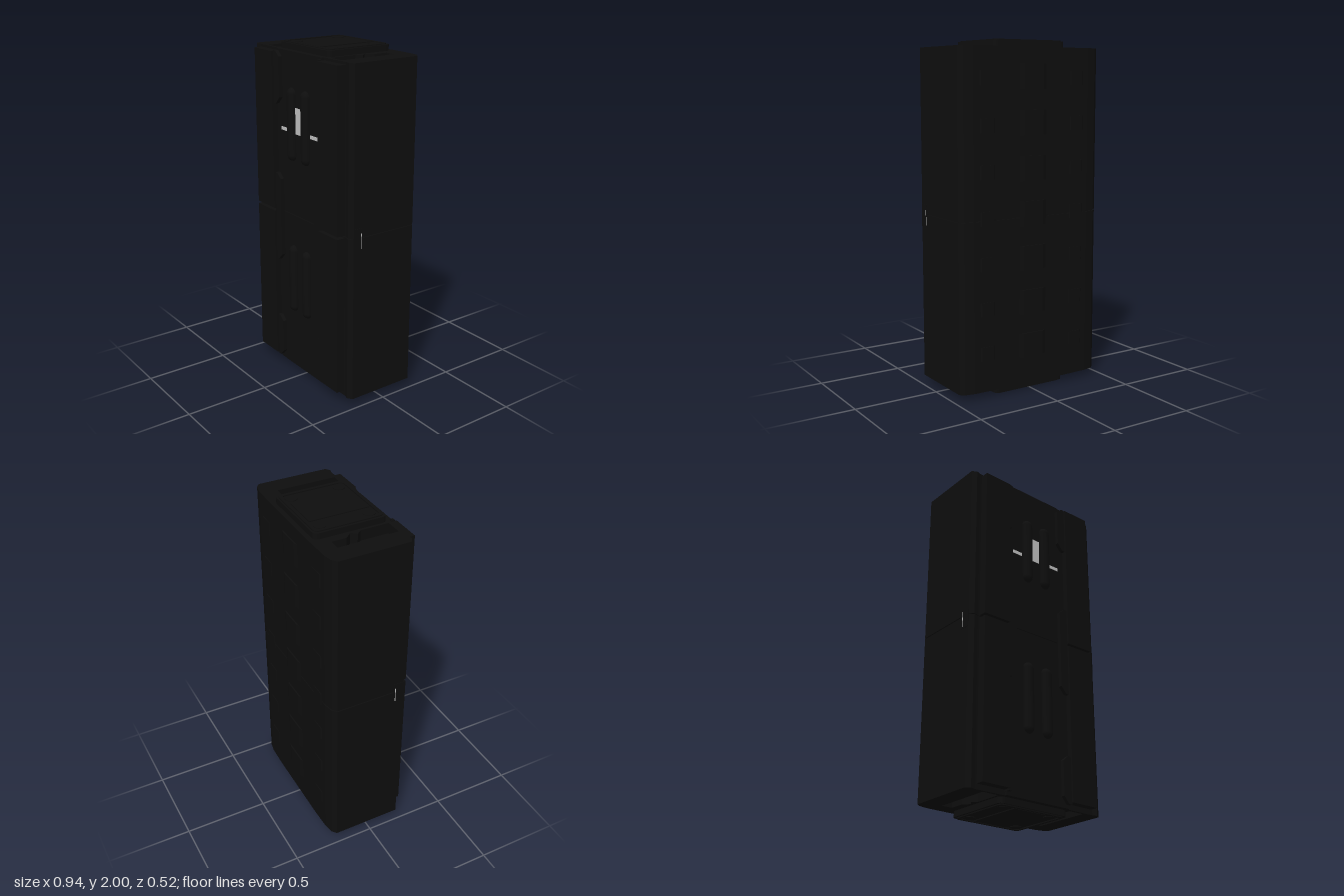
import * as THREE from 'three';

export function createModel() {
  const root = new THREE.Group();
  root.name = 'monolithCase';
  const black = new THREE.MeshStandardMaterial({ color: 0x0e0e0e });
  black.name = 'black';
  const grey = new THREE.MeshStandardMaterial({ color: 0xc0c0c0 });
  grey.name = 'light grey';

  const add = (name, geo, mat = black) => {
    const m = new THREE.Mesh(geo, mat);
    m.name = name;
    root.add(m);
    return m;
  };
  // Box given by its limits
  const box = (name, x0, x1, y0, y1, z0, z1, mat) =>
    add(name, new THREE.BoxGeometry(x1 - x0, y1 - y0, z1 - z0), mat)
      .position.set((x0 + x1) / 2, (y0 + y1) / 2, (z0 + z1) / 2);
  const poly = (pts) => new THREE.Shape(pts.map(([x, z]) => new THREE.Vector2(x, -z)));
  // Plan outline in x,z raised from y0 to y1
  const raise = (name, shape, y0, y1) => {
    const g = new THREE.ExtrudeGeometry(shape, { depth: y1 - y0, bevelEnabled: false, curveSegments: 6 });
    g.rotateX(-Math.PI / 2);
    g.translate(0, y0, 0);
    return add(name, g);
  };
  const mirrored = (half) => [...half, ...half.slice().reverse().map(([x, z]) => [-x, z])];
  const roundRect = (x0, x1, z0, z1, r, Kind = THREE.Shape) => {
    const s = new Kind(), a = -z1, b = -z0;
    s.moveTo(x0 + r, a).lineTo(x1 - r, a).quadraticCurveTo(x1, a, x1, a + r);
    s.lineTo(x1, b - r).quadraticCurveTo(x1, b, x1 - r, b);
    s.lineTo(x0 + r, b).quadraticCurveTo(x0, b, x0, b - r);
    s.lineTo(x0, a + r).quadraticCurveTo(x0, a, x0 + r, a);
    return s;
  };

  // Case: two halves with a fine seam round the middle, pockets in both ends
  const outline = mirrored([
    [0.22, 0.228], [0.22, 0.215], [0.41, 0.21], [0.44, 0.218], [0.468, 0.2],
    [0.468, -0.215], [0.44, -0.237], [0.385, -0.248], [0.25, -0.252],
  ]);
  const endPiece = (name, y0, y1) => {
    const s = poly(outline);
    for (const k of [-1, 1]) {
      const h = [[0.25, 0.195], [0.25, 0.03], [0.275, 0.0], [0.25, -0.03], [0.285, -0.07],
        [0.285, -0.155], [0.35, -0.155], [0.35, 0.195]].map(([x, z]) => new THREE.Vector2(k * x, -z));
      s.holes.push(new THREE.Path(h));
    }
    raise(name, s, y0, y1);
  };
  raise('lowerCase', poly(outline), 0.1, 1.012);
  raise('upperCase', poly(outline), 1.018, 1.9);
  endPiece('bottomEnd', 0.04, 0.1);
  endPiece('topEnd', 1.9, 1.96);
  raise('seamCore', poly(outline.map(([x, z]) => [x * 0.985, z * 0.97])), 0.98, 1.05);

  for (const k of [-1, 1]) {
    const side = (name, x0, x1, ...rest) => box(name, Math.min(k * x0, k * x1), Math.max(k * x0, k * x1), ...rest);
    // Raised front panels, split at the middle
    side('frontPanelLower', 0.22, 0.4, 0.07, 1.005, 0.2, 0.26);
    side('frontPanelUpper', 0.22, 0.4, 1.02, 1.945, 0.2, 0.26);
    // Stepped rails along the central channel, with sloping ends
    for (const [a, b] of [[0.06, 0.33], [0.7, 1.24], [1.65, 1.95]]) {
      const s = new THREE.Shape([[0.165, a + 0.04], [0.2, a], [0.222, a], [0.222, b], [0.2, b], [0.165, b - 0.03]]
        .map(([x, y]) => new THREE.Vector2(k * x, y)));
      add('channelRail', new THREE.ExtrudeGeometry(s, { depth: 0.04, bevelEnabled: false })).position.z = 0.21;
    }
    // Long rounded grips
    for (const y of [0.615, 1.55]) {
      const g = new THREE.CapsuleGeometry(0.035, 0.35, 4, 10);
      g.scale(1, 1, 0.95);
      add('frontGrip', g).position.set(k * 0.067, y, 0.226);
    }
    // Side latch and its pale slit
    side('sideLatch', 0.46, 0.47, 0.94, 1.07, 0.14, 0.2);
    side('latchSlit', 0.468, 0.471, 0.95, 1.04, 0.148, 0.152, grey);
    // Small pale bars
    side('paleBar', 0.108, 0.175, 1.502, 1.522, 0.225, 0.231, grey);
  }
  box('paleWindow', -0.033, 0.025, 1.5, 1.65, 0.225, 0.231, grey);

  // End caps with a rounded rim, screws and small studs
  for (const top of [true, false]) {
    const y = (a, b) => (top ? [2 - b, 2 - a] : [a, b]);
    const name = top ? 'top' : 'bottom';
    raise(name + 'Cap', roundRect(-0.235, 0.235, -0.225, 0.195, 0.03), ...y(0.006, 0.06));
    const rim = roundRect(-0.222, 0.222, -0.215, 0.185, 0.03);
    rim.holes.push(roundRect(-0.205, 0.205, -0.198, 0.168, 0.025, THREE.Path));
    raise(name + 'CapRim', rim, ...y(0, 0.01));
    box(name + 'CapPlate', -0.11, 0.11, ...y(0.001, 0.01), -0.19, 0.16);
    for (const x of [-0.165, 0.165]) for (const z of [-0.16, 0.125]) {
      const [a, b] = y(0.002, 0.01);
      add(name + 'Screw', new THREE.CylinderGeometry(0.034, 0.034, b - a, 20)).position.set(x, (a + b) / 2, z);
    }
  }

  // Low wedges in columns down the back
  const wedge = mirrored([[0.11, -0.245], [0.065, -0.26]]);
  const smallWedge = mirrored([[0.06, -0.24], [0.04, -0.254]]);
  for (let i = 0; i < 7; i++) {
    const y = 0.2 + i * 0.255;
    raise('backRib', poly(wedge), y, y + 0.14);
    for (const x of [-0.3, 0.3]) raise('backSideRib', poly(smallWedge), y + 0.02, y + 0.1).position.x = x;
  }
  return root;
}
